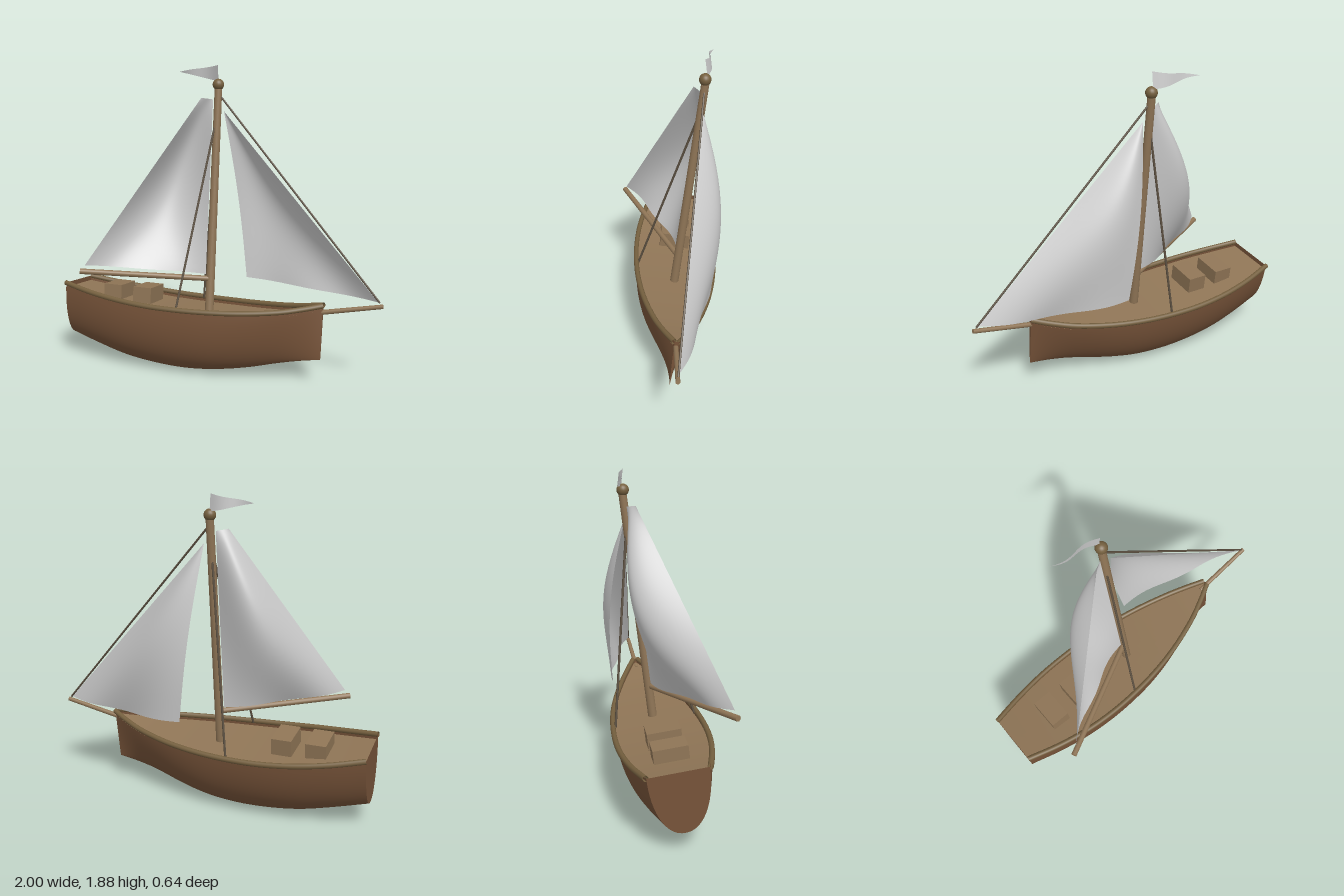
import * as THREE from 'three';
import { ParametricGeometry } from 'three/addons/geometries/ParametricGeometry.js';

const V = (x, y, z) => new THREE.Vector3(x, y, z);
const mat = (color) => new THREE.MeshStandardMaterial({ color, side: THREE.DoubleSide });

export function createModel() {
  const model = new THREE.Group();
  model.name = 'sailboat';
  const boat = new THREE.Group();
  boat.name = 'heeledBoat';
  boat.rotation.x = -0.122; // heeling to its right side
  model.add(boat);

  const hullWood = mat(0x765339), wood = mat(0x8f7556), railWood = mat(0x75603f);
  const rope = mat(0x5c5041), cloth = mat(0xcccccc);

  const add = (name, geometry, material) => {
    const mesh = new THREE.Mesh(geometry, material);
    mesh.name = name;
    boat.add(mesh);
    return mesh;
  };
  // Smooth sheet from a rule over u, v
  const sheet = (name, fn, nu, nv, material) => {
    const g = new ParametricGeometry((u, v, out) => out.copy(fn(u, v)), nu, nv);
    g.computeVertexNormals();
    return add(name, g, material);
  };
  // Round rod between two points
  const rod = (name, a, b, ra, rb, material, sides = 14) => {
    const mesh = add(name, new THREE.CylinderGeometry(rb, ra, a.distanceTo(b), sides), material);
    mesh.position.copy(a).lerp(b, 0.5);
    mesh.quaternion.setFromUnitVectors(V(0, 1, 0), b.clone().sub(a).normalize());
    return mesh;
  };

  // Hull lines: x, sheer height, half beam, keel height
  const stations = [
    [-1, 0.485, 0.163, 0.135], [-0.8, 0.453, 0.213, 0.08], [-0.6, 0.43, 0.246, 0.032],
    [-0.4, 0.415, 0.258, 0.007], [-0.2, 0.41, 0.252, 0], [0, 0.412, 0.23, 0.016],
    [0.2, 0.42, 0.188, 0.052], [0.4, 0.438, 0.125, 0.105], [0.54, 0.462, 0.065, 0.137],
    [0.645, 0.485, 0.012, 0.155],
  ];
  const curve = (points) => new THREE.CatmullRomCurve3(points, false, 'catmullrom', 0.5);
  const gunwale = curve(stations.map(([x, y, b]) => V(x, y, b)));
  const keel = curve(stations.map(([x, , , k]) => V(x, k, 0)));
  const section = (t, v) => {
    const top = gunwale.getPoint(t), low = keel.getPoint(t);
    const p = THREE.MathUtils.lerp(2.15, 1.3, THREE.MathUtils.smoothstep(top.x, -0.1, 0.64));
    const a = (v * 2 - 1) * Math.PI / 2;
    const side = Math.sign(a) * Math.pow(Math.abs(Math.sin(a)), 2 / p);
    const drop = Math.pow(Math.max(Math.cos(a), 0), 2 / p);
    return V(top.x, top.y - (top.y - low.y) * drop, top.z * side);
  };
  sheet('hull', section, 48, 32, hullWood);

  // Flat ends of the hull
  for (const [name, t, flip] of [['transom', 0, 1], ['stem', 1, -1]]) {
    sheet(name, (u, v) => {
      const p = section(t, 0.5 + v / 2);
      p.z *= (u * 2 - 1) * flip;
      return p;
    }, 4, 16, hullWood);
  }

  // Deck, a little below the gunwale
  sheet('deck', (u, v) => {
    const p = gunwale.getPoint(u);
    return V(p.x, p.y - 0.03, p.z * 0.985 * (1 - 2 * v));
  }, 40, 6, wood);

  // Rails along both gunwales
  for (const s of [1, -1]) {
    const path = curve(stations.map(([x, y, b]) => V(x, y, s * (b + 0.003))));
    add(s > 0 ? 'leftRail' : 'rightRail', new THREE.TubeGeometry(path, 50, 0.016, 10), railWood);
  }

  // Deck boxes
  for (const x of [-0.695, -0.49]) {
    add('deckBox', new THREE.BoxGeometry(0.122, 0.1, 0.195), wood).position.set(x, 0.445, 0.005);
  }

  // Spars
  rod('mast', V(-0.072, 0.36, 0), V(-0.072, 1.765, 0), 0.027, 0.023, wood, 20);
  add('mastBall', new THREE.SphereGeometry(0.035, 20, 14), railWood).position.set(-0.072, 1.77, 0.004);
  rod('boom', V(-0.072, 0.578, 0.005), V(-0.78, 0.608, 0.378), 0.017, 0.017, wood);
  rod('bowsprit', V(0.6, 0.435, 0), V(0.995, 0.516, 0), 0.015, 0.013, wood);

  // Rigging
  rod('forestay', V(-0.06, 1.705, 0), V(0.975, 0.535, 0), 0.006, 0.006, rope, 8);
  for (const s of [1, -1]) {
    rod(s > 0 ? 'leftShroud' : 'rightShroud', V(-0.2, 0.405, s * 0.24), V(-0.082, 1.51, s * 0.015), 0.007, 0.007, rope, 8);
  }

  // Sails: four corners with a belly pushed along a direction
  const { sin, PI } = Math;
  const sail = (name, [tack, clew, headIn, headOut], dir, depth) => sheet(name, (u, v) => {
    const p = tack.clone().lerp(clew, u).lerp(headIn.clone().lerp(headOut, u), v);
    return p.addScaledVector(dir, depth(u, v));
  }, 28, 32, cloth);

  sail('mainsail',
    [V(-0.1, 0.605, 0.012), V(-0.752, 0.645, 0.37), V(-0.1, 1.68, 0.01), V(-0.16, 1.685, 0.055)],
    V(-0.48, 0, -0.88),
    (u, v) => 0.15 * sin(PI * u) * (sin(PI * v) + 0.25 * (1 - v)) + 0.014 * sin(3 * PI * u) * Math.pow(1 - v, 5));

  const jibHead = V(-0.03, 1.61, 0);
  sail('jib',
    [V(0.1, 0.575, -0.2), V(0.965, 0.538, 0), jibHead, jibHead],
    V(0, 0, -1),
    (u, v) => 0.05 * (1 - u) * sin(PI * v) + 0.075 * sin(PI * u) * (sin(PI * v) + 0.45 * (1 - v))
      + 0.014 * sin(3 * PI * u) * Math.pow(1 - v, 5));

  // Pennant at the masthead
  const tip = V(-0.35, 1.85, -0.045);
  sail('pennant', [tip, V(-0.075, 1.79, -0.005), tip, V(-0.075, 1.885, 0.02)], V(0, 0, 1),
    (u) => 0.015 * sin(2 * PI * u));

  return model;
}
